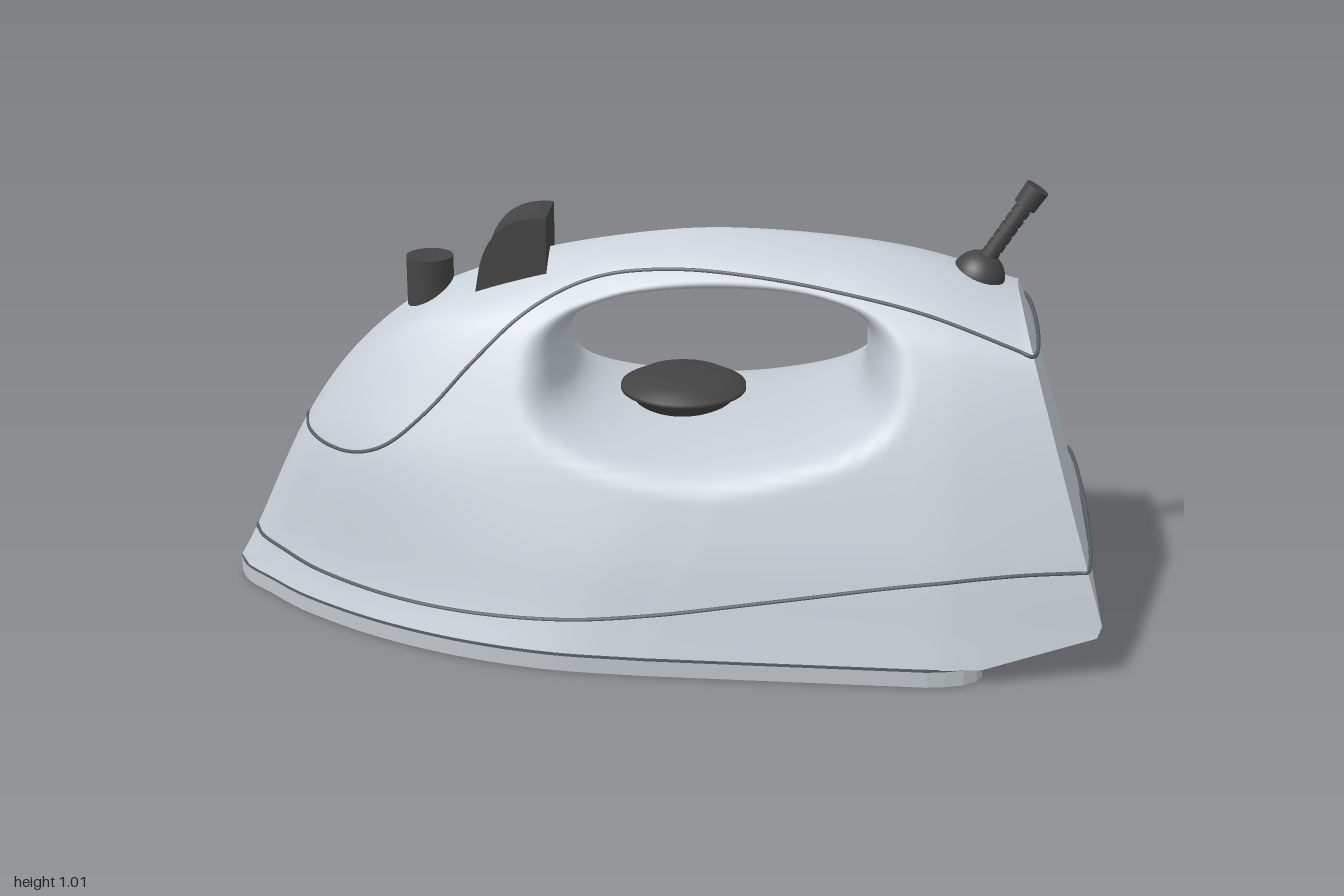
import * as THREE from 'three';
import { mergeVertices } from 'three/addons/utils/BufferGeometryUtils.js';

const shell = new THREE.MeshStandardMaterial({ color: 0xc6ced5 }); shell.name = 'shellGrey';
const plateGrey = new THREE.MeshStandardMaterial({ color: 0xc0c7cb }); plateGrey.name = 'plateGrey';
const dark = new THREE.MeshStandardMaterial({ color: 0x444444 }); dark.name = 'darkPlastic';
const groove = new THREE.MeshStandardMaterial({ color: 0x5a6066 }); groove.name = 'grooveGrey';

// Smooth curve through 2D points, sampled finely
const smooth = (pts, n = 120) =>
  new THREE.CatmullRomCurve3(pts.map(([x, y]) => new THREE.Vector3(x, y, 0))).getPoints(n).map(p => [p.x, p.y]);
// Lookup of sampled points as a function
const lookup = s => k => {
  if (k <= s[0][0]) return s[0][1];
  for (let i = 1; i < s.length; i++) {
    if (k <= s[i][0]) {
      const [a, b] = [s[i - 1], s[i]];
      return a[1] + (b[1] - a[1]) * (k - a[0]) / (b[0] - a[0] || 1);
    }
  }
  return s[s.length - 1][1];
};

// Side silhouette from the nose over the handle to the rear
const topLine = smooth([[-1, 0.04], [-0.96, 0.115], [-0.82, 0.41], [-0.7, 0.58], [-0.55, 0.71], [-0.4, 0.78],
  [-0.25, 0.83], [0, 0.875], [0.15, 0.885], [0.4, 0.87], [0.6, 0.835], [0.8, 0.768]], 130);
const topY = lookup(topLine);
const noseX = lookup(topLine.filter(p => p[0] <= 0.1).map(([x, y]) => [y, x]));
// Half width by height, nose plan, rear taper and roundness of the top
const sideW = lookup(smooth([[0.04, 0.462], [0.11, 0.443], [0.24, 0.41], [0.4, 0.357], [0.5, 0.32], [0.6, 0.278],
  [0.68, 0.238], [0.75, 0.195], [0.8, 0.172], [0.85, 0.148], [0.89, 0.12]]));
const nosePlan = lookup(smooth([[0, 0], [0.03, 0.12], [0.1, 0.26], [0.2, 0.45], [0.4, 0.71], [0.6, 0.88], [0.8, 0.975], [1, 1]]));
const rearTaper = lookup([[0.6, 1], [0.66, 0.995], [0.74, 0.97], [1, 0.88]]);
const topRound = lookup([[-0.65, 0.03], [-0.1, 0.2], [0.35, 0.2], [0.8, 0.11]]);

// Handle opening: tilted superellipse in polar form
const HX = 0.135, HY = 0.625, TILT = 0.04;
const holeRadius = a => Math.pow(Math.abs(Math.cos(a) / 0.335) ** 3 + Math.abs(Math.sin(a) / 0.143) ** 3, -1 / 3);
const polar = (x, y) => {
  const dx = x - HX, dy = y - HY - TILT * dx;
  return [Math.atan2(dy, dx), Math.hypot(dx, dy)];
};
const dome = t => Math.sqrt(Math.max(0, 1 - Math.pow(1 - THREE.MathUtils.clamp(t, 0, 1), 2.5)));

// Half width of the body at a point of its side view
function halfWidth(x, y) {
  const [a, r] = polar(x, y);
  const round = 0.11 - 0.07 * THREE.MathUtils.smoothstep(Math.sin(a), 0, 0.5);
  const power = 1 - 0.35 * THREE.MathUtils.smoothstep(y, 0.04, 0.45) - 0.15 * THREE.MathUtils.smoothstep(y, 0.5, 0.85);
  const nose = Math.pow(Math.max(0, nosePlan(x - noseX(y))), power);
  return sideW(y) * nose * rearTaper(x) * dome((topY(x) - y) / topRound(x)) * dome((r - holeRadius(a)) / round);
}

function buildGeometry(positions, index) {
  const g = new THREE.BufferGeometry();
  g.setAttribute('position', new THREE.Float32BufferAttribute(positions, 3));
  g.setIndex(index);
  return g;
}

function bodyGeometries() {
  // Outline runs clockwise: top, rear, chin, underside
  const outline = topLine.slice();
  const line = (x0, y0, x1, y1, n) => {
    for (let i = 1; i <= n; i++) outline.push([x0 + (x1 - x0) * i / n, y0 + (y1 - y0) * i / n]);
  };
  line(0.8, 0.768, 0.79 + 0.015, 0.755, 6);
  line(0.805, 0.755, 0.995, 0.125, 34);
  line(0.995, 0.125, 0.985, 0.1, 3);
  line(0.985, 0.1, 0.74, 0.04, 10);
  line(0.74, 0.04, -1, 0.04, 60);
  outline.pop();
  const N = outline.length, M = 36, pos = [], idx = [], topCount = topLine.length;
  // Rings from the handle opening out to the silhouette, mirrored
  for (const side of [1, -1]) {
    const base = pos.length / 3;
    outline.forEach(([ox, oy], i) => {
      const [a] = polar(ox, oy), r = holeRadius(a);
      const hx = HX + r * Math.cos(a), hy = HY + r * Math.sin(a) + TILT * r * Math.cos(a);
      for (let j = 0; j <= M; j++) {
        const t = (1 - Math.cos(Math.PI * j / M)) / 2;
        const x = hx + (ox - hx) * t, y = hy + (oy - hy) * t;
        const closed = j === 0 || (j === M && i < topCount);
        pos.push(x, y, closed ? 0 : side * halfWidth(x, y));
      }
    });
    for (let i = 0; i < N; i++) {
      for (let j = 0; j < M; j++) {
        const a = base + i * (M + 1) + j, d = base + ((i + 1) % N) * (M + 1) + j;
        if (side > 0) idx.push(a, d, d + 1, a, d + 1, a + 1);
        else idx.push(a, d + 1, d, a, a + 1, d + 1);
      }
    }
  }
  const sides = mergeVertices(buildGeometry(pos, idx), 1e-5);
  sides.computeVertexNormals();
  // Flat rear and underside between both halves
  const sp = [], si = [];
  for (let i = topCount - 1; i < N; i++) {
    const k = sp.length / 3;
    for (const n of [i, (i + 1) % N]) {
      const [x, y] = outline[n], w = n < topCount ? 0 : halfWidth(x, y);
      sp.push(x, y, w, x, y, -w);
    }
    si.push(k, k + 2, k + 3, k, k + 3, k + 1);
  }
  const rear = buildGeometry(sp, si).toNonIndexed();
  rear.computeVertexNormals();
  return [sides, rear];
}

// Closed groove around the body along a side-view line
function seam(pts) {
  const half = smooth(pts, 110).map(([x, y], i) => {
    const px = i === 0 ? noseX(y) : Math.max(x, noseX(y));
    return new THREE.Vector3(px, y, i === 0 ? 0 : halfWidth(px, y));
  });
  const other = half.slice(1).reverse().map(p => new THREE.Vector3(p.x, p.y, -p.z));
  return new THREE.TubeGeometry(new THREE.CatmullRomCurve3([...half, ...other], true), 400, 0.0045, 6, true);
}

// Sole outline extruded upward
function soleSlab(depth) {
  const edge = [];
  for (let i = 0; i <= 70; i++) {
    const u = 1.62 * (i / 70) ** 1.5;
    edge.push([u - 1, 0.464 * nosePlan(u)]);
  }
  edge.push([0.66, 0.458], [0.7, 0.446], [0.73, 0.425], [0.742, 0.4]);
  const loop = [...edge, ...edge.slice(1).reverse().map(([x, z]) => [x, -z])];
  const g = new THREE.ExtrudeGeometry(new THREE.Shape(loop.map(p => new THREE.Vector2(...p))), { depth, bevelEnabled: false });
  return g.rotateX(-Math.PI / 2);
}

export function createModel() {
  const model = new THREE.Group();
  const add = (name, geometry, material, x = 0, y = 0, z = 0, parent = model) => {
    const m = new THREE.Mesh(geometry, material);
    m.name = name;
    m.position.set(x, y, z);
    parent.add(m);
    return m;
  };

  // Body and grooves
  const [sides, rear] = bodyGeometries();
  add('bodyShell', sides, shell);
  add('rearPanel', rear, shell);
  add('handleSeam', seam([[-0.82, 0.41], [-0.75, 0.388], [-0.68, 0.39], [-0.6, 0.42], [-0.5, 0.505], [-0.4, 0.615],
    [-0.3, 0.71], [-0.2, 0.768], [-0.1, 0.8], [0.05, 0.817], [0.2, 0.813], [0.4, 0.79], [0.6, 0.752], [0.826, 0.68]]), groove);
  add('skirtSeam', seam([[-0.957, 0.122], [-0.8, 0.106], [-0.5, 0.098], [-0.2, 0.11], [0, 0.13], [0.3, 0.175],
    [0.6, 0.22], [0.8, 0.238], [0.958, 0.242]]), groove);

  // Sole plate with a shadow gap
  add('solePlate', soleSlab(0.036), plateGrey);
  add('soleGap', soleSlab(0.006), groove, 0, 0.036, 0);

  // Steam vents: groups of three joined by wavy grooves
  const ventZ = x => 0.28 * Math.sqrt(THREE.MathUtils.clamp((x + 0.68) / 0.42, 0, 1));
  const vents = new THREE.Group();
  vents.name = 'steamVents';
  model.add(vents);
  for (const s of [1, -1]) {
    for (let g = 0; g < 3; g++) {
      const x0 = 0.32 - g * 0.36, wave = [];
      for (let i = 0; i <= 12; i++) {
        const x = x0 + 0.03 - 0.3 * i / 12;
        wave.push(new THREE.Vector3(x, 0.003, s * (ventZ(x) + 0.032 * Math.sin(i / 12 * Math.PI * 2))));
      }
      add('ventGroove', new THREE.TubeGeometry(new THREE.CatmullRomCurve3(wave), 36, 0.004, 5), groove, 0, 0, 0, vents);
      for (let k = 0; k < 3; k++) {
        const x = x0 - k * 0.12;
        add('ventRim', new THREE.CylinderGeometry(0.018, 0.018, 0.004, 16), groove, x, 0.0015, s * ventZ(x), vents);
        add('ventHole', new THREE.CylinderGeometry(0.01, 0.01, 0.004, 12), plateGrey, x, 0.0005, s * ventZ(x), vents);
      }
    }
  }

  // Spray button
  add('sprayButton', new THREE.CylinderGeometry(0.053, 0.053, 0.13, 32), dark, -0.522, 0.737, 0);

  // Steam trigger with a hollow front face
  const t = new THREE.Shape();
  t.moveTo(-0.41, 0.73);
  t.lineTo(-0.4, 0.79);
  t.bezierCurveTo(-0.385, 0.87, -0.34, 0.913, -0.27, 0.915);
  t.lineTo(-0.247, 0.915);
  t.lineTo(-0.247, 0.73);
  const trigger = new THREE.ExtrudeGeometry(t, { depth: 0.146, steps: 10, bevelEnabled: false, curveSegments: 12 }).translate(0, 0, -0.073);
  const tp = trigger.attributes.position;
  for (let i = 0; i < tp.count; i++) {
    const x = tp.getX(i), z = tp.getZ(i);
    tp.setX(i, x + 0.045 * (1 - (z / 0.073) ** 2) * (-0.247 - x) / 0.163);
  }
  trigger.computeVertexNormals();
  add('steamTrigger', trigger, dark);

  // Temperature dial under the handle
  const dial = [[0, 0.47], [0.115, 0.47], [0.115, 0.497], [0.143, 0.503], [0.143, 0.512], [0.1, 0.534], [0, 0.536]];
  const dialGeo = new THREE.LatheGeometry(dial.map(p => new THREE.Vector2(...p)), 48);
  add('temperatureDial', dialGeo, dark, 0.055, 0, 0);

  // Cord socket, ribbed cord guard and end cap
  add('cordSocket', new THREE.SphereGeometry(0.06, 28, 16), dark, 0.71, 0.787, 0);
  const cord = new THREE.Group();
  cord.name = 'cord';
  cord.position.set(0.725, 0.825, 0);
  cord.rotation.z = -0.56;
  model.add(cord);
  add('cordCore', new THREE.CylinderGeometry(0.016, 0.018, 0.19, 16), dark, 0, 0.085, 0, cord);
  for (let i = 0; i < 6; i++) add('cordRib', new THREE.CylinderGeometry(0.02, 0.02, 0.016, 16), dark, 0, 0.02 + i * 0.023, 0, cord);
  add('cordCap', new THREE.CylinderGeometry(0.028, 0.026, 0.05, 20), dark, 0, 0.175, 0, cord);
  return model;
}
